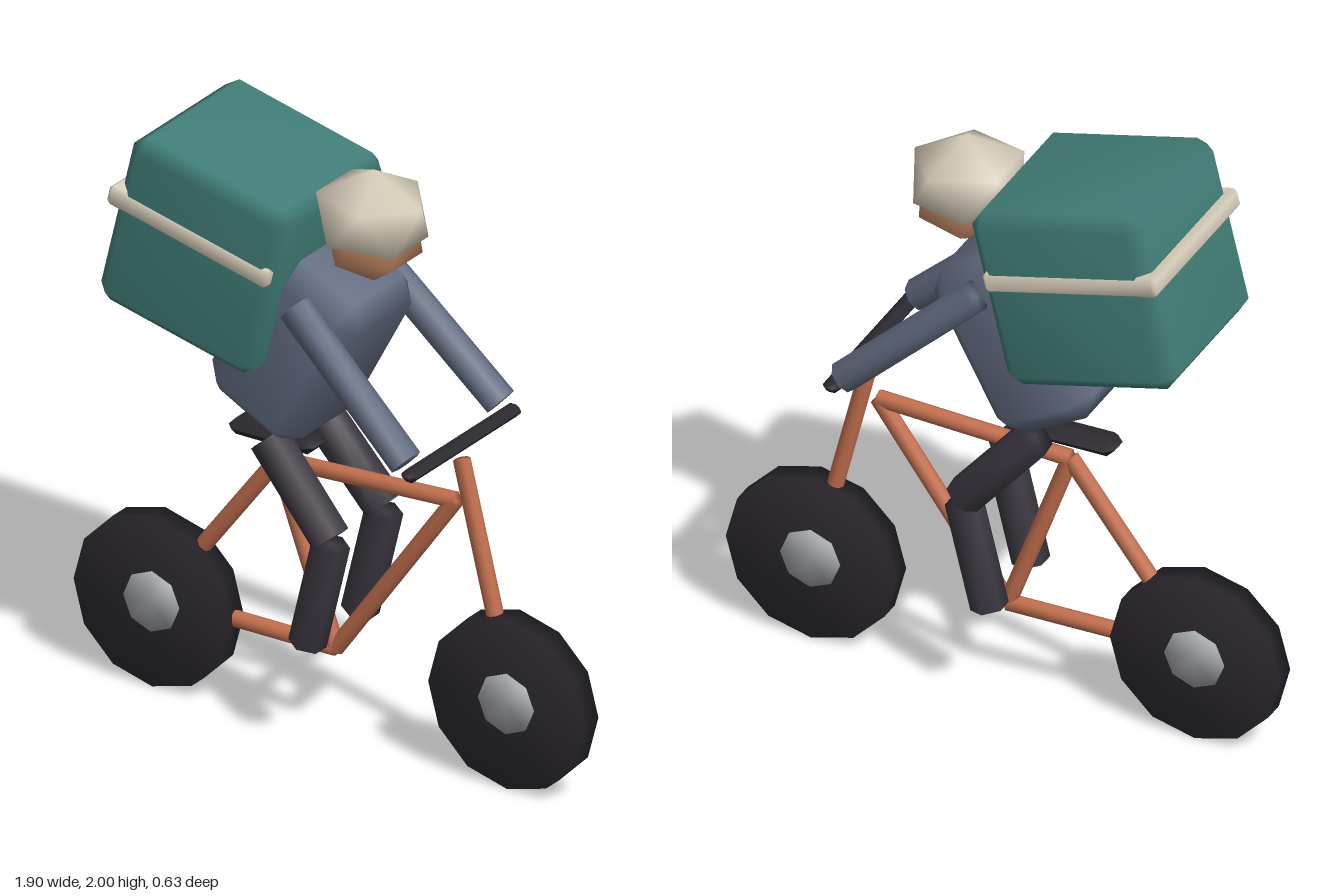
import * as THREE from 'three';
import { mergeVertices } from 'three/addons/utils/BufferGeometryUtils.js';
import { ConvexGeometry } from 'three/addons/geometries/ConvexGeometry.js';

const material = (color) => new THREE.MeshStandardMaterial({ color });
const mats = {
  pack: material(0x417d77), cream: material(0xd9cfbc), jacket: material(0x626b80),
  trousers: material(0x3b3640), rubber: material(0x2b282f), hub: material(0xa3a6ab),
  frame: material(0xc4704f), skin: material(0xc98d66),
};

// Weld corners so the low-poly forms shade softly
function smooth(geometry) {
  geometry.deleteAttribute('normal');
  geometry.deleteAttribute('uv');
  const welded = mergeVertices(geometry, 1e-4);
  welded.computeVertexNormals();
  return welded;
}

// Box with a single-step chamfer on every edge
function chamferBox(w, h, d, b) {
  const points = [];
  for (const sx of [-1, 1]) for (const sy of [-1, 1]) for (const sz of [-1, 1]) {
    const [x, y, z] = [w / 2, h / 2, d / 2];
    for (const [px, py, pz] of [[x, y - b, z - b], [x - b, y, z - b], [x - b, y - b, z]]) {
      points.push(new THREE.Vector3(sx * px, sy * py, sz * pz));
    }
  }
  return smooth(new ConvexGeometry(points));
}

// Twenty-sided ball standing on a point
function facetBall(rx, ry, rz) {
  const points = [new THREE.Vector3(0, ry, 0), new THREE.Vector3(0, -ry, 0)];
  const ringY = 1 / Math.sqrt(5);
  for (let i = 0; i < 10; i++) {
    const a = (i * Math.PI) / 5;
    const y = i % 2 ? -ringY : ringY;
    points.push(new THREE.Vector3(rx * 2 * ringY * Math.cos(a), ry * y, rz * 2 * ringY * Math.sin(a)));
  }
  return smooth(new ConvexGeometry(points));
}

export function createModel() {
  const model = new THREE.Group();

  function add(name, geometry, mat, [x, y, z], tilt = 0) {
    const mesh = new THREE.Mesh(geometry, mat);
    mesh.name = name;
    mesh.position.set(x, y, z);
    mesh.rotation.z = tilt;
    model.add(mesh);
    return mesh;
  }

  // Straight bar between two points
  function bar(name, from, to, radius, sides, mat) {
    const a = new THREE.Vector3(...from);
    const b = new THREE.Vector3(...to);
    const dir = b.clone().sub(a);
    const geometry = smooth(new THREE.CylinderGeometry(radius, radius, dir.length(), sides));
    const mesh = add(name, geometry, mat, a.clone().add(b).multiplyScalar(0.5).toArray());
    mesh.quaternion.setFromUnitVectors(new THREE.Vector3(0, 1, 0), dir.normalize());
  }

  // Wheels and hubs
  for (const [label, x] of [['rear', -0.66], ['front', 0.66]]) {
    const tyre = new THREE.CylinderGeometry(0.292, 0.292, 0.074, 12).rotateX(Math.PI / 2);
    const hub = new THREE.CylinderGeometry(0.102, 0.102, 0.09, 8).rotateX(Math.PI / 2);
    add(label + 'Wheel', smooth(tyre), mats.rubber, [x, 0.295, 0]);
    add(label + 'Hub', smooth(hub), mats.hub, [x, 0.295, 0]);
  }

  // Bicycle frame
  const rearAxle = [-0.66, 0.297, 0], crank = [0, 0.297, 0];
  const seatTop = [-0.215, 0.885, 0], headJoint = [0.445, 0.92, 0];
  const frame = [
    ['chainStay', rearAxle, crank], ['seatStay', rearAxle, seatTop],
    ['seatTube', crank, seatTop], ['topTube', seatTop, headJoint],
    ['downTube', crank, headJoint], ['fork', [0.66, 0.295, 0], [0.468, 1.065, 0]],
  ];
  for (const [name, from, to] of frame) bar(name, from, to, 0.028, 8, mats.frame);
  add('saddle', chamferBox(0.32, 0.056, 0.11, 0.027), mats.rubber, [-0.22, 0.973, 0]);
  add('handlebar', chamferBox(0.058, 0.042, 0.612, 0.018), mats.rubber, [0.466, 1.12, 0]);

  // Rider
  add('torso', chamferBox(0.38, 0.6, 0.42, 0.07), mats.jacket, [-0.09, 1.353, 0], -0.49);
  add('head', facetBall(0.17, 0.17, 0.17), mats.skin, [0.14, 1.76, 0]);
  add('helmet', facetBall(0.203, 0.155, 0.19), mats.cream, [0.135, 1.815, 0], -0.06);
  for (const [side, s] of [['left', 1], ['right', -1]]) {
    bar(side + 'Arm', [0.0, 1.55, 0.23 * s], [0.437, 1.15, 0.262 * s], 0.054, 8, mats.jacket);
    bar(side + 'Thigh', [-0.16, 1.025, 0.135 * s], [0.08, 0.747, 0.148 * s], 0.067, 6, mats.trousers);
    bar(side + 'Shin', [0.08, 0.73, 0.147 * s], [-0.008, 0.368, 0.146 * s], 0.061, 6, mats.trousers);
  }

  // Delivery box with its band
  add('deliveryBox', chamferBox(0.6, 0.61, 0.592, 0.045), mats.pack, [-0.352, 1.645, 0], -0.237);
  add('boxBand', chamferBox(0.61, 0.07, 0.606, 0.014), mats.cream, [-0.355, 1.722, 0], -0.237);

  return model;
}
